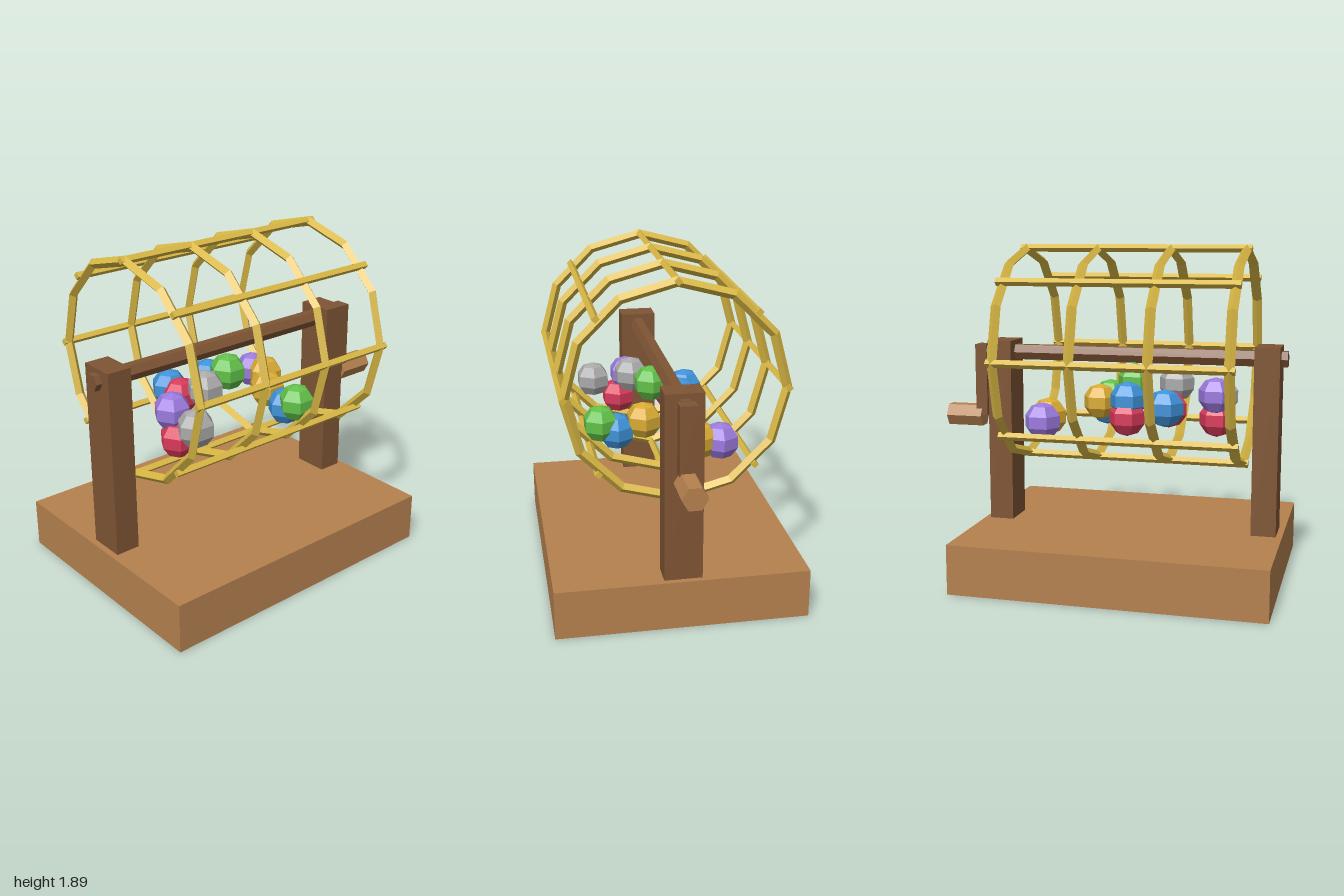
import * as THREE from 'three';

export function createModel() {
  const root = new THREE.Group();
  const mat = (color) => new THREE.MeshStandardMaterial({ color, flatShading: true });
  const lightWood = mat(0xb5814f), darkWood = mat(0x7f5534), brass = mat(0xd9b845);

  function add(name, geometry, material, x, y, z, parent = root) {
    const mesh = new THREE.Mesh(geometry, material);
    mesh.name = name;
    mesh.position.set(x, y, z);
    parent.add(mesh);
    return mesh;
  }
  // Prism lying along x
  const bar = (radius, length, sides) =>
    new THREE.CylinderGeometry(radius, radius, length, sides).rotateZ(Math.PI / 2);

  const axleY = 1.265;

  // Stand
  add('base', new THREE.BoxGeometry(1.75, 0.28, 1.4), lightWood, -0.125, 0.14, 0);
  for (const [name, x] of [['rightPost', -0.895], ['leftPost', 0.648]]) {
    add(name, new THREE.BoxGeometry(0.14, 1.055, 0.21), darkWood, x, 0.8075, 0);
  }

  // Axle and crank
  add('axle', bar(0.049, 1.75, 6), darkWood, -0.125, axleY, 0);
  add('crankArm', new THREE.BoxGeometry(0.07, 0.42, 0.09), darkWood, 0.785, 1.095, 0);
  add('crankHandle', bar(0.07, 0.215, 6), lightWood, 0.8925, 0.88, 0);

  // Wire drum: four twelve-sided hoops joined by eight rods
  const drum = new THREE.Group();
  drum.name = 'drum';
  root.add(drum);
  const radius = 0.595;
  const hoop = new THREE.TorusGeometry(radius, 0.028, 4, 12).rotateY(Math.PI / 2);
  for (let i = 0; i < 4; i++) {
    add('hoop', hoop, brass, -0.76 + i * 0.4225, axleY, 0, drum);
  }
  const rod = bar(0.022, 1.33, 4);
  for (let i = 0; i < 8; i++) {
    const a = (i * Math.PI) / 4;
    add('rod', rod, brass, -0.126, axleY + 0.6 * Math.sin(a), 0.6 * Math.cos(a), drum);
  }

  // Balls piled in the drum, in five rows along x
  const red = mat(0xd83a5a), blue = mat(0x3f92d8), green = mat(0x62c04a);
  const purple = mat(0x9c7ade), yellow = mat(0xd9ab35), grey = mat(0xaaaaaa);
  const balls = new THREE.Group();
  balls.name = 'balls';
  root.add(balls);
  const ball = new THREE.SphereGeometry(0.106, 6, 5);
  const rows = [
    [-0.583, [[purple, 1.03, 0.12], [grey, 1.0, 0.325], [red, 0.885, 0.17]]],
    [-0.356, [[grey, 1.095, 0.12], [red, 0.98, -0.11], [blue, 1.0, -0.21]]],
    [-0.128, [[green, 1.11, 0.035], [blue, 1.025, -0.14], [red, 0.93, -0.16]]],
    [0.1, [[yellow, 0.97, 0.115], [blue, 0.915, 0.27], [green, 0.965, 0.36]]],
    [0.33, [[purple, 0.91, -0.28], [yellow, 0.92, -0.16]]],
  ];
  for (const [x, list] of rows) {
    for (const [material, y, z] of list) add('ball', ball, material, x, y, z, balls);
  }

  return root;
}
